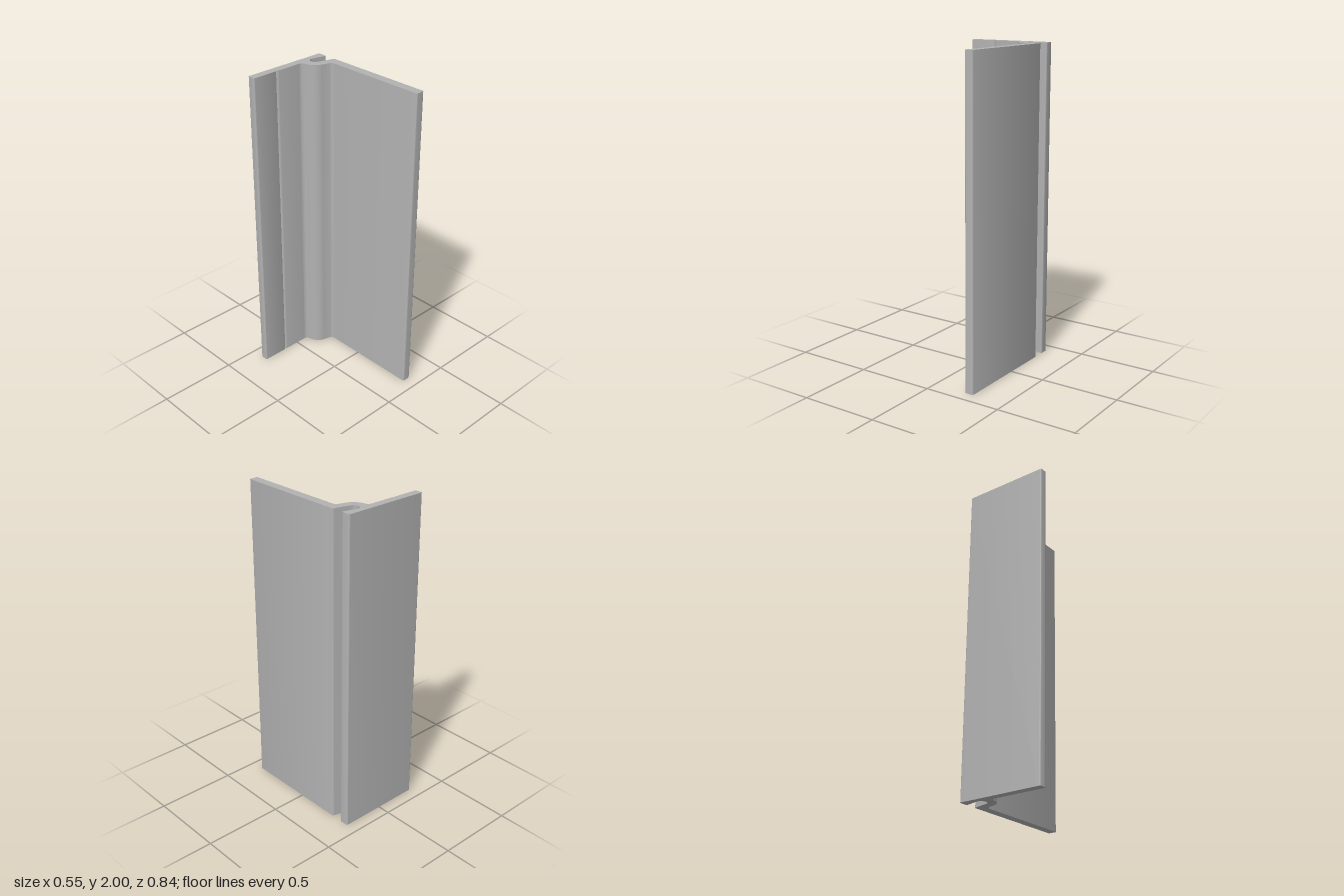
import * as THREE from 'three';
import { toCreasedNormals } from 'three/addons/utils/BufferGeometryUtils.js';

const LENGTH = 2;
const HALF_W = 0.277, HALF_D = 0.421; // half extents of the section
const R = 0.01; // small corner radius
const FLANGE = 0.371; // inner face of the back flange
const LEG = 0.221; // inner face of the side leg
const CX = 0.18, CY = 0.35; // centre of the curved channel
const TILT = THREE.MathUtils.degToRad(14); // slope of the channel lips

// Cross-section, drawn with +y towards the back
function sectionShape() {
  const s = new THREE.Shape();
  const corner = (x, y, ex, ey) => s.quadraticCurveTo(x, y, ex, ey);

  // back flange, free end and inner face with a scribe notch
  s.moveTo(-HALF_W + R, HALF_D);
  corner(-HALF_W, HALF_D, -HALF_W, HALF_D - R);
  s.lineTo(-HALF_W, FLANGE + R);
  corner(-HALF_W, FLANGE, -HALF_W + R, FLANGE);
  s.lineTo(-0.114, FLANGE);
  corner(-0.11, FLANGE, -0.108, 0.374);
  s.lineTo(-0.102, 0.381);
  s.lineTo(-0.096, 0.374);
  corner(-0.094, FLANGE, -0.09, FLANGE);
  s.lineTo(0.064, FLANGE);

  // outside of the curved neck
  s.absarc(0.064, 0.34, 0.031, Math.PI / 2, 0, true);
  s.absarc(CX, CY, 0.085, Math.PI + 0.1, 1.5 * Math.PI - TILT, false);
  s.lineTo(0.2, 0.257);
  s.bezierCurveTo(0.212, 0.254, LEG, 0.243, LEG, 0.229);

  // side leg
  s.lineTo(LEG, -HALF_D + R);
  corner(LEG, -HALF_D, LEG + R, -HALF_D);
  s.lineTo(HALF_W - R, -HALF_D);
  corner(HALF_W, -HALF_D, HALF_W, -HALF_D + R);
  s.lineTo(HALF_W, 0.283);
  corner(HALF_W, 0.292, 0.267, 0.294);

  // open channel between leg and flange
  s.absarc(CX, CY, 0.033, 1.5 * Math.PI - TILT, Math.PI / 2 - TILT, true);
  s.lineTo(0.266, 0.363);
  corner(HALF_W, 0.36, HALF_W, 0.371);
  s.lineTo(HALF_W, HALF_D - R);
  corner(HALF_W, HALF_D, HALF_W - R, HALF_D);
  s.closePath();
  return s;
}

export function createModel() {
  const group = new THREE.Group();
  group.name = 'cornerProfile';

  const metal = new THREE.MeshStandardMaterial({ color: 0xb2b2b2 });
  metal.name = 'plain grey';

  // extrude upwards, with smooth curves and crisp edges
  const extruded = new THREE.ExtrudeGeometry(sectionShape(), {
    depth: LENGTH, bevelEnabled: false, curveSegments: 16,
  });
  extruded.rotateX(-Math.PI / 2);
  const profile = new THREE.Mesh(toCreasedNormals(extruded, Math.PI / 6), metal);
  profile.name = 'extrudedProfile';
  group.add(profile);
  return group;
}
